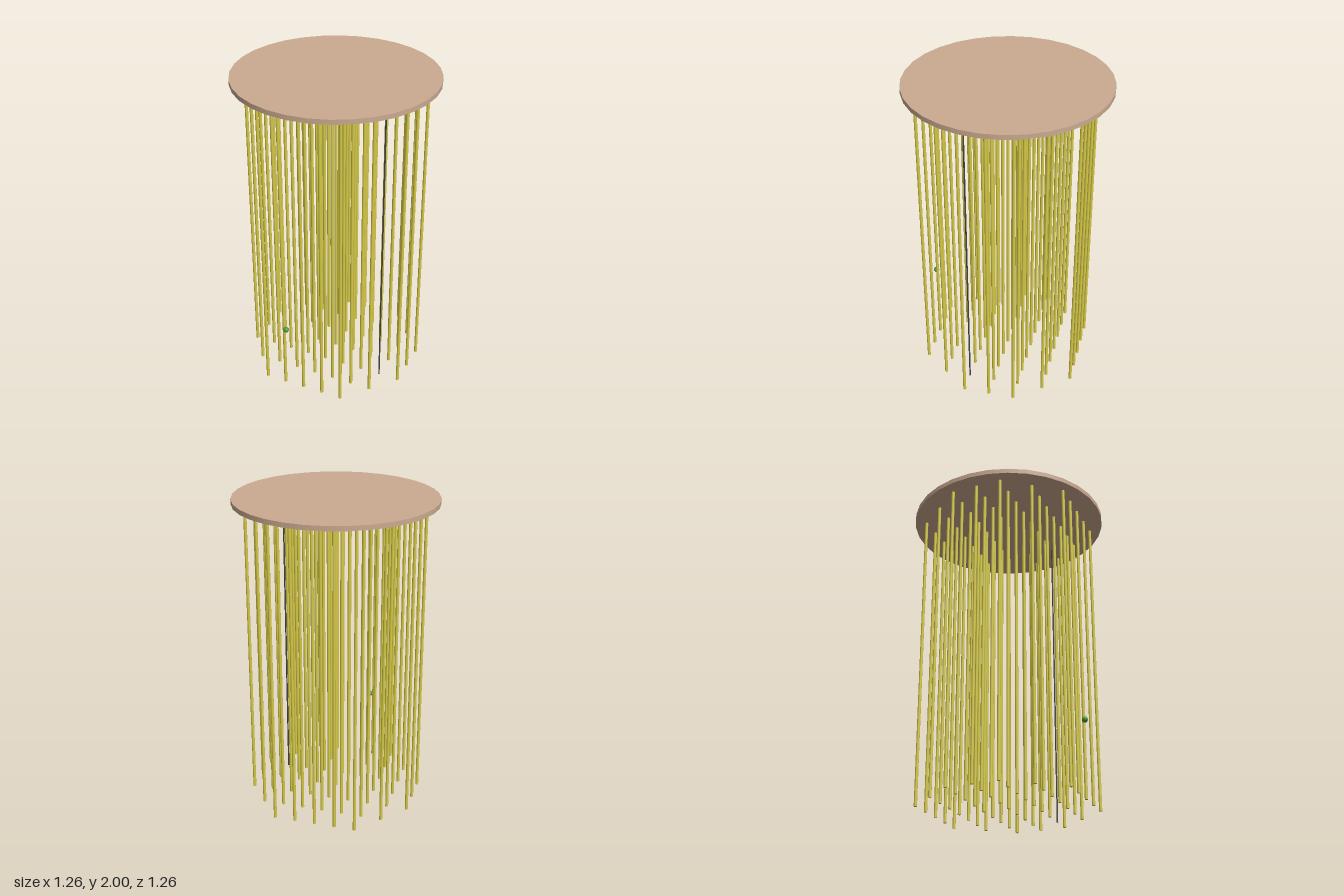
import * as THREE from 'three';

const TURN = THREE.MathUtils.degToRad(10);
const TOP = 1.97;            // underside of the plate
const STEP_X = 0.131, STEP_Z = 0.163;
const ROW_HALF = [2, 3, 4, 4, 4, 3, 2]; // rods either side of each row's middle

const material = (color) => new THREE.MeshStandardMaterial({ color });

function addMesh(parent, name, geometry, mat, x, y, z) {
  const mesh = new THREE.Mesh(geometry, mat);
  mesh.name = name;
  mesh.position.set(x, y, z);
  parent.add(mesh);
  return mesh;
}

export function createModel() {
  const model = new THREE.Group();
  model.name = 'hangingRods';

  // Plate and rods share one slightly turned layout
  const body = new THREE.Group();
  body.name = 'body';
  body.rotation.y = TURN;
  model.add(body);

  // Round top plate
  addMesh(body, 'topPlate', new THREE.CylinderGeometry(0.63, 0.63, 2 - TOP, 32),
    material(0xcbaa90), 0, (2 + TOP) / 2, 0);

  // Rectangular grid of rods, trimmed to the circle
  const rods = new THREE.Group();
  rods.name = 'rods';
  body.add(rods);
  const rodGeometry = new THREE.CylinderGeometry(0.01, 0.01, TOP, 12);
  const thinGeometry = new THREE.CylinderGeometry(0.005, 0.005, TOP, 8);
  const yellow = material(0xd6ca48), dark = material(0x444444);
  ROW_HALF.forEach((half, r) => {
    const row = r - 3;
    for (let i = -half; i <= half; i++) {
      const thin = row === 1 && i === 3; // the single dark thin rod
      addMesh(rods, thin ? 'darkRod' : 'rod', thin ? thinGeometry : rodGeometry,
        thin ? dark : yellow, i * STEP_X, TOP / 2, row * STEP_Z);
    }
  });

  // Small green bead at the front
  addMesh(model, 'bead', new THREE.SphereGeometry(0.018, 24, 16),
    material(0x4c9a3c), -0.003, 0.455, 0.537);

  return model;
}
